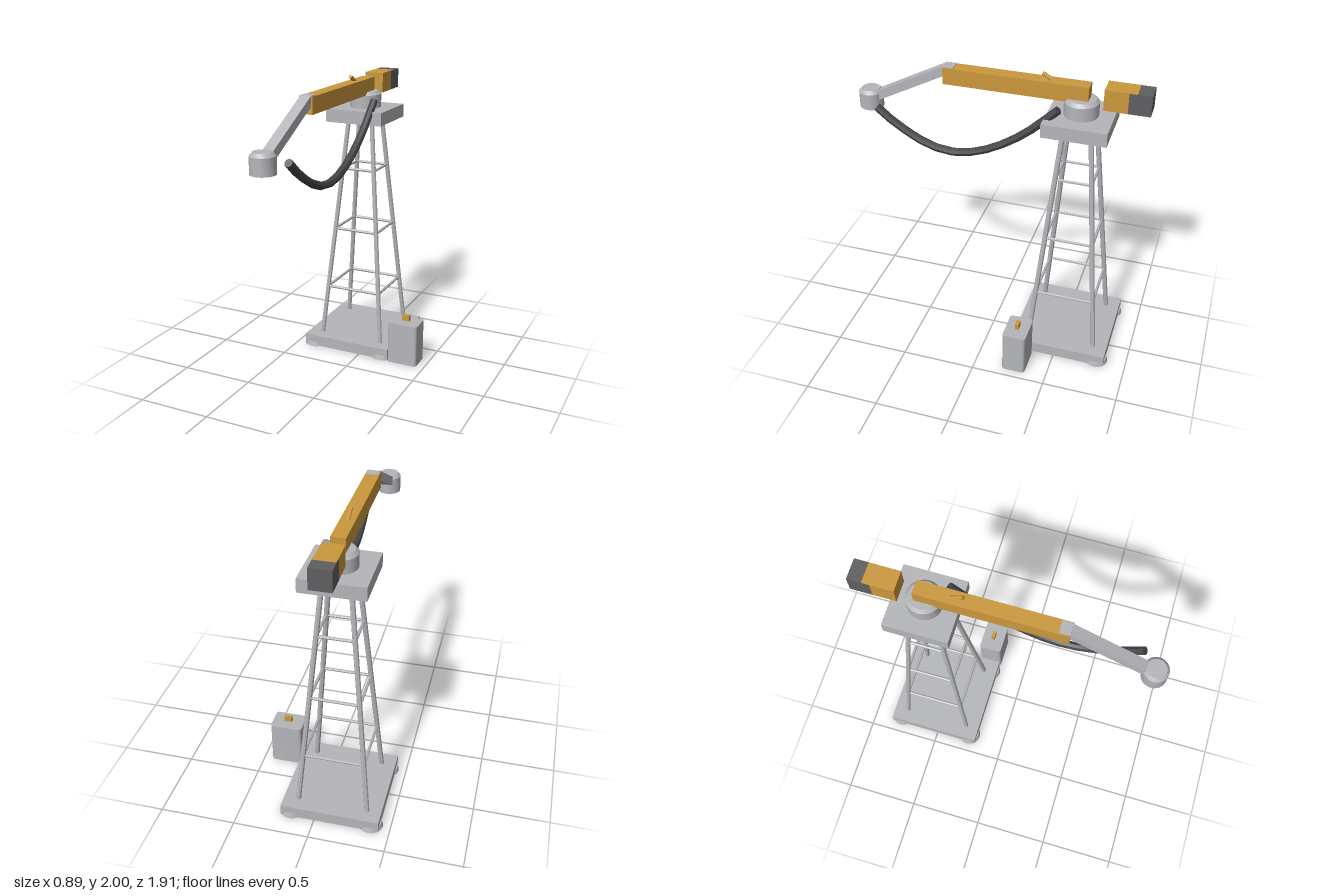
import * as THREE from 'three';
import { toCreasedNormals } from 'three/addons/utils/BufferGeometryUtils.js';

const mat = (name, color) => {
  const m = new THREE.MeshStandardMaterial({ color });
  m.name = name;
  return m;
};

export function createModel() {
  const root = new THREE.Group();
  root.name = 'towerCrane';
  const grey = mat('steelGrey', 0xb5b6ba);
  const yellow = mat('craneYellow', 0xcb983c);
  const dark = mat('counterweightGrey', 0x5f5f62);
  const rubber = mat('hoseBlack', 0x454549);
  const CX = -0.103, CZ = -0.528; // tower axis

  const add = (name, geo, material, parent = root) => {
    const mesh = new THREE.Mesh(geo, material);
    mesh.name = name;
    parent.add(mesh);
    return mesh;
  };
  // box from its minimum and maximum corners
  const box = (name, material, a, b) => {
    const m = add(name, new THREE.BoxGeometry(b[0] - a[0], b[1] - a[1], b[2] - a[2]), material);
    m.position.set((a[0] + b[0]) / 2, (a[1] + b[1]) / 2, (a[2] + b[2]) / 2);
    return m;
  };
  // straight rod between two points
  const rod = (name, material, a, b, r, sides, parent = root) => {
    const dir = b.clone().sub(a);
    const geo = toCreasedNormals(new THREE.CylinderGeometry(r, r, dir.length(), sides), 0.6);
    const m = add(name, geo, material, parent);
    m.position.copy(a).add(b).multiplyScalar(0.5);
    m.quaternion.setFromUnitVectors(new THREE.Vector3(0, 1, 0), dir.normalize());
    return m;
  };
  // drum with a bevelled top rim
  const drum = (name, r, rTop, y0, y1, bevel, z) => {
    const profile = [[0, y0], [r, y0], [r, y1 - bevel], [rTop, y1], [0, y1]]
      .map(([x, y]) => new THREE.Vector2(x, y));
    const m = add(name, toCreasedNormals(new THREE.LatheGeometry(profile, 24), 0.5), grey);
    m.position.set(CX, 0, z);
  };

  // base slab with four round feet
  box('base', grey, [CX - 0.327, 0.004, CZ - 0.327], [CX + 0.327, 0.082, CZ + 0.327]);
  const corners = [[1, 1], [1, -1], [-1, -1], [-1, 1]];
  for (const [sx, sz] of corners) {
    const geo = toCreasedNormals(new THREE.CylinderGeometry(0.07, 0.079, 0.03, 16), 0.6);
    add('foot', geo, grey).position.set(CX + sx * 0.267, 0.015, CZ + sz * 0.267);
  }

  // tapering lattice tower: four legs and three rings of rungs
  const tower = new THREE.Group();
  tower.name = 'tower';
  root.add(tower);
  const at = (i, y) => {
    const h = THREE.MathUtils.mapLinear(y, 0.08, 1.68, 0.231, 0.086);
    const [sx, sz] = corners[i % 4];
    return new THREE.Vector3(CX + sx * h, y, CZ + sz * h);
  };
  for (let i = 0; i < 4; i++) {
    rod('towerLeg', grey, at(i, 0.07), at(i, 1.68), 0.017, 8, tower);
    for (const y of [0.44, 0.88, 1.32]) rod('rung', grey, at(i, y), at(i + 1, y), 0.01, 6, tower);
  }

  // top platform and turntable
  box('platform', grey, [CX - 0.205, 1.66, CZ - 0.205], [CX + 0.205, 1.75, CZ + 0.205]);
  drum('turntable', 0.11, 0.09, 1.75, 1.862, 0.022, CZ);

  // main boom and rear counterweight
  box('boom', yellow, [CX - 0.046, 1.842, -0.575], [CX + 0.046, 1.952, 0.357]);
  box('counterweightMount', yellow, [CX - 0.067, 1.829, -0.868], [CX + 0.067, 1.965, -0.672]);
  box('counterweight', dark, [CX - 0.068, 1.83, -0.958], [CX + 0.068, 1.964, -0.82]);

  // knuckle and sloping jib down to the head
  box('knuckle', grey, [CX - 0.04, 1.86, 0.29], [CX + 0.04, 1.957, 0.355]);
  const a = new THREE.Vector3(CX, 1.931, 0.342), b = new THREE.Vector3(CX, 1.676, 0.83);
  const jib = add('jib', new THREE.BoxGeometry(0.072, 0.058, a.distanceTo(b)), grey);
  jib.position.copy(a).add(b).multiplyScalar(0.5);
  jib.rotation.x = Math.atan2(a.y - b.y, b.z - a.z);
  drum('head', 0.079, 0.06, 1.59, 1.72, 0.022, 0.878);

  // lever on the boom
  rod('lever', yellow, new THREE.Vector3(CX, 1.935, -0.37), new THREE.Vector3(CX, 1.99, -0.277), 0.013, 8);

  // sagging hose with closed ends
  const hosePath = new THREE.CatmullRomCurve3([
    [1.815, -0.41], [1.6, -0.18], [1.455, 0.06], [1.403, 0.25],
    [1.425, 0.43], [1.545, 0.66], [1.648, 0.79],
  ].map(([y, z]) => new THREE.Vector3(0.013, y, z)));
  add('hose', toCreasedNormals(new THREE.TubeGeometry(hosePath, 12, 0.027, 8), 0.5), rubber);
  for (const t of [0, 1]) {
    const cap = add('hoseEnd', new THREE.CircleGeometry(0.027, 8), rubber);
    cap.position.copy(hosePath.getPointAt(t));
    const out = hosePath.getTangentAt(t).multiplyScalar(t ? 1 : -1);
    cap.quaternion.setFromUnitVectors(new THREE.Vector3(0, 0, 1), out);
  }

  // control cabinet with rounded upright edges
  const w = 0.108, d = 0.08, r = 0.02;
  const plan = new THREE.Shape();
  plan.absarc(w - r, d - r, r, 0, Math.PI / 2);
  plan.absarc(r - w, d - r, r, Math.PI / 2, Math.PI);
  plan.absarc(r - w, r - d, r, Math.PI, Math.PI * 1.5);
  plan.absarc(w - r, r - d, r, Math.PI * 1.5, Math.PI * 2);
  const body = new THREE.ExtrudeGeometry(plan, { depth: 0.302, bevelEnabled: false, curveSegments: 5 });
  const cabinet = add('cabinet', toCreasedNormals(body.rotateX(-Math.PI / 2), 0.6), grey);
  cabinet.position.set(0.336, 0, -0.273);
  box('cabinetButton', yellow, [0.311, 0.307, -0.286], [0.363, 0.348, -0.261]);

  return root;
}
